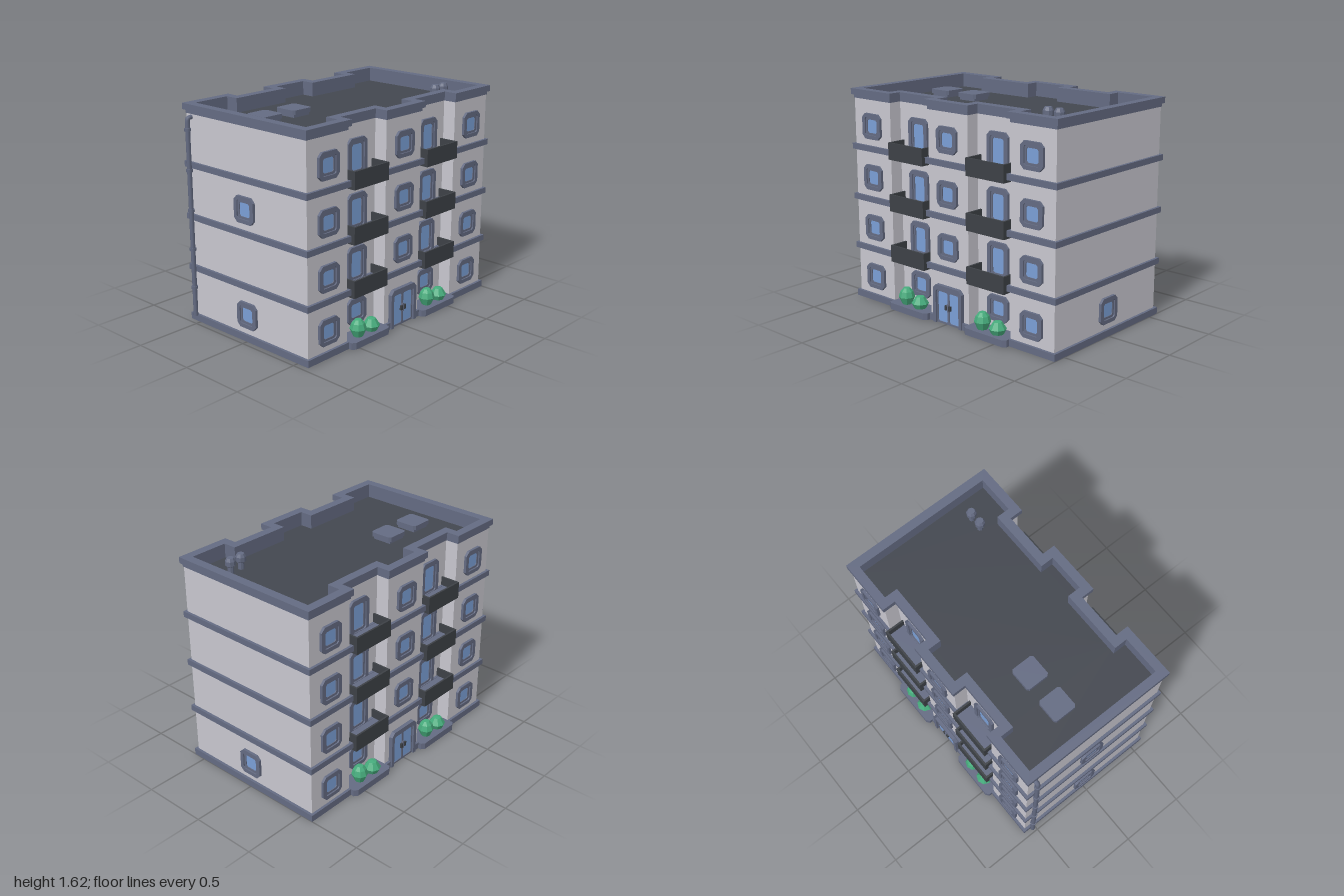
import * as THREE from 'three';

const paint = (name, color) => Object.assign(new THREE.MeshStandardMaterial({ color }), { name });

export function createModel() {
  const wall = paint('wall', 0xc8c7cf), trim = paint('trim', 0x646b82), roof = paint('roof', 0x43474f);
  const railing = paint('railing', 0x3d4146), glass = paint('glass', 0x7a9fd6), leaf = paint('leaf', 0x46ab7c);

  const model = new THREE.Group();
  model.name = 'apartmentBlock';
  const block = new THREE.Group(); // centred on the walls; the drainpipe makes the left end longer
  block.name = 'block';
  block.position.x = 0.02;
  model.add(block);

  const BAY = 0.383, PITCH = 0.385, HX = 0.96, HZ = 0.58, ROOF_Y = 1.51;

  // ---------- helpers ----------
  const add = (parent, name, geo, mat, x = 0, y = 0, z = 0) => {
    const m = new THREE.Mesh(geo, mat);
    m.name = name;
    m.position.set(x, y, z);
    parent.add(m);
    return m;
  };
  const box = (w, h, d) => new THREE.BoxGeometry(w, h, d);
  const toShape = (pts, hole) => {
    const s = new THREE.Shape(pts.map(p => new THREE.Vector2(...p)));
    if (hole) s.holes.push(new THREE.Path(hole.map(p => new THREE.Vector2(...p))));
    return s;
  };
  const extrude = (pts, depth, hole) =>
    new THREE.ExtrudeGeometry(toShape(pts, hole), { depth, bevelEnabled: false });
  const slab = (pts, height, hole) => extrude(pts, height, hole).rotateX(-Math.PI / 2);
  const flat = geo => {
    const g = geo.toNonIndexed();
    g.computeVertexNormals();
    return g;
  };
  const lathe = (pts, n) => flat(new THREE.LatheGeometry(pts.map(p => new THREE.Vector2(...p)), n));
  // rectangle with cut corners
  const cutRect = (w, h, c) => {
    const a = w / 2, b = h / 2;
    return [[a - c, -b], [a, -b + c], [a, b - c], [a - c, b], [-a + c, b], [-a, b - c], [-a, -b + c], [-a + c, -b]];
  };
  const bothSides = front => [...front, ...front.map(([x, z]) => [-x, -z])];
  // floor plan with two recessed bays per side, grown by o
  const plan = o => {
    const w = 0.195 - o, hz = HZ + o, nz = 0.48 + o;
    const front = [[HX + o, hz]];
    for (const c of [BAY, -BAY]) front.push([c + w, hz], [c + w, nz], [c - w, nz], [c - w, hz]);
    front.push([-HX - o, hz]);
    return bothSides(front);
  };

  // ---------- body, bands and parapet ----------
  add(block, 'walls', slab(plan(0), ROOF_Y - 0.02), [roof, wall], 0, 0.02);
  add(block, 'parapetWall', slab(plan(0), 0.035, plan(-0.025)), wall, 0, ROOF_Y);
  add(block, 'parapetLining', slab(plan(-0.02), 0.06, plan(-0.045)), trim, 0, ROOF_Y);
  add(block, 'cornice', slab(plan(0.005), 0.027, plan(-0.045)), trim, 0, 1.545);
  add(block, 'parapetCap', slab(plan(0.02), 0.045, plan(-0.046)), trim, 0, 1.57);
  for (let i = 1; i < 4; i++) add(block, 'floorBand', slab(plan(0.02), 0.043), trim, 0, 0.005 + i * PITCH);

  // plinth with a planter step under each bay and a gap for each door
  const planter = c => [[c + 0.197, 0.6], [c + 0.197, 0.625], [c + 0.17, 0.645],
    [c - 0.17, 0.645], [c - 0.197, 0.625], [c - 0.197, 0.6]];
  const plinth = bothSides([[HX + 0.02, 0.6], ...planter(BAY), [0.12, 0.6], [0.12, 0.575],
    [-0.12, 0.575], [-0.12, 0.6], ...planter(-BAY), [-HX - 0.02, 0.6]]);
  add(block, 'plinth', slab(plinth, 0.05), trim);

  // ---------- windows ----------
  const addWindow = (parent, x, y, z, h = 0.19, name = 'window') => {
    const g = new THREE.Group();
    g.name = name;
    g.position.set(x, y, z);
    parent.add(g);
    add(g, 'outerFrame', extrude(cutRect(0.19, h, 0.03), 0.02, cutRect(0.132, h - 0.058, 0.012)), trim);
    add(g, 'innerFrame', extrude(cutRect(0.134, h - 0.056, 0.012), 0.01, cutRect(0.1, h - 0.09, 0.012)), trim);
    add(g, 'pane', extrude(cutRect(0.104, h - 0.086, 0.01), 0.004), glass);
    return g;
  };

  // ---------- balcony ----------
  const addBalcony = (parent, x, y) => {
    const g = new THREE.Group();
    g.name = 'balcony';
    g.position.set(x, y, 0);
    parent.add(g);
    const w = 0.346, t = 0.014, z0 = 0.48, z1 = 0.627, zc = (z0 + z1) / 2;
    add(g, 'underside', box(w, 0.055, z1 - z0), railing, 0, -0.0325, zc);
    add(g, 'deck', box(w - 2 * t, 0.006, z1 - z0 - t), trim, 0, -0.002, zc - t / 2);
    add(g, 'frontRail', box(w, 0.072, t), railing, 0, 0.03, z1 - t / 2);
    for (const s of [-1, 1])
      add(g, 'sideRail', box(t, 0.072, z1 - z0 - t), railing, s * (w - t) / 2, 0.03, zc - t / 2);
  };

  // ---------- entrance ----------
  const addDoor = parent => {
    const g = new THREE.Group();
    g.name = 'entrance';
    g.position.set(0, 0, HZ);
    parent.add(g);
    add(g, 'doorFrame', extrude([[0.14, 0], [0.14, 0.26], [0.11, 0.29], [-0.11, 0.29], [-0.14, 0.26], [-0.14, 0],
      [-0.112, 0], [-0.112, 0.24], [-0.1, 0.252], [0.1, 0.252], [0.112, 0.24], [0.112, 0]], 0.03), trim);
    for (const s of [-1, 1]) {
      add(g, 'doorLeaf', extrude(cutRect(0.112, 0.252, 0.002), 0.014, cutRect(0.094, 0.226, 0.01)), trim, s * 0.056, 0.126);
      add(g, 'doorGlass', box(0.098, 0.23, 0.008), glass, s * 0.056, 0.126, 0.005);
      add(g, 'handle', box(0.02, 0.035, 0.014), railing, s * 0.018, 0.13, 0.02);
    }
    add(g, 'lock', box(0.016, 0.06, 0.012), trim, 0, 0.13, 0.017);
  };

  // ---------- the two long fronts ----------
  const tallBush = lathe([[0, 0], [0.035, 0], [0.061, 0.058], [0.048, 0.1], [0.025, 0.126], [0, 0.128]], 8);
  const lowBush = lathe([[0, 0], [0.044, 0], [0.064, 0.04], [0.032, 0.09], [0, 0.095]], 8);
  for (const turn of [0, Math.PI]) {
    const facade = new THREE.Group();
    facade.name = turn ? 'backFacade' : 'frontFacade';
    facade.rotation.y = turn;
    block.add(facade);
    for (let i = 0; i < 4; i++) {
      const y = 0.195 + i * PITCH;
      for (const x of [-0.768, 0, 0.768]) if (x || i) addWindow(facade, x, y, HZ);
      for (const x of [-BAY, BAY]) {
        if (i) {
          addWindow(facade, x, y - 0.04, 0.48, 0.27, 'balconyDoor');
          addBalcony(facade, x, y - 0.15);
        } else {
          addWindow(facade, x, y, 0.48);
          add(facade, 'tallBush', tallBush, leaf, x - 0.072, 0.048, 0.572);
          add(facade, 'lowBush', lowBush, leaf, x + 0.068, 0.048, 0.57);
        }
      }
    }
    addDoor(facade);
  }

  // ---------- end wall windows ----------
  for (const [s, y] of [[1, 0.195], [-1, 0.195], [-1, 0.195 + 2 * PITCH]])
    addWindow(block, s * HX, y, 0).rotation.y = s * Math.PI / 2;

  // ---------- roof fittings ----------
  for (const x of [-0.67, -0.39]) {
    add(block, 'hatchBase', box(0.15, 0.025, 0.15), trim, x, ROOF_Y + 0.012, -0.1);
    add(block, 'hatchLid', slab(cutRect(0.18, 0.18, 0.015), 0.032), trim, x, ROOF_Y + 0.022, -0.1);
  }
  const vent = lathe([[0.022, 0], [0.022, 0.05], [0.037, 0.06], [0.037, 0.092], [0.025, 0.115], [0, 0.115]], 8);
  for (const x of [0.675, 0.77]) add(block, 'roofVent', vent, trim, x, ROOF_Y, 0.32);

  // ---------- drainpipe ----------
  const pipe = new THREE.Group();
  pipe.name = 'drainpipe';
  pipe.position.set(-0.976, 0, -0.53);
  model.add(pipe);
  const path = new THREE.CurvePath();
  const v = (x, y) => new THREE.Vector3(x, y, 0);
  path.add(new THREE.LineCurve3(v(0, 0.05), v(0, 1.5)));
  path.add(new THREE.QuadraticBezierCurve3(v(0, 1.5), v(0, 1.522), v(0.02, 1.522)));
  path.add(new THREE.LineCurve3(v(0.02, 1.522), v(0.05, 1.522)));
  add(pipe, 'pipe', new THREE.TubeGeometry(path, 100, 0.017, 8), trim);
  add(pipe, 'pipeEnd', new THREE.CircleGeometry(0.017, 8).rotateX(Math.PI / 2), trim, 0, 0.05);
  for (let i = 0; i < 5; i++)
    add(pipe, 'pipeCollar', new THREE.CylinderGeometry(0.024, 0.024, 0.022, 8), trim, 0, 0.27 + i * 0.292);

  return model;
}
